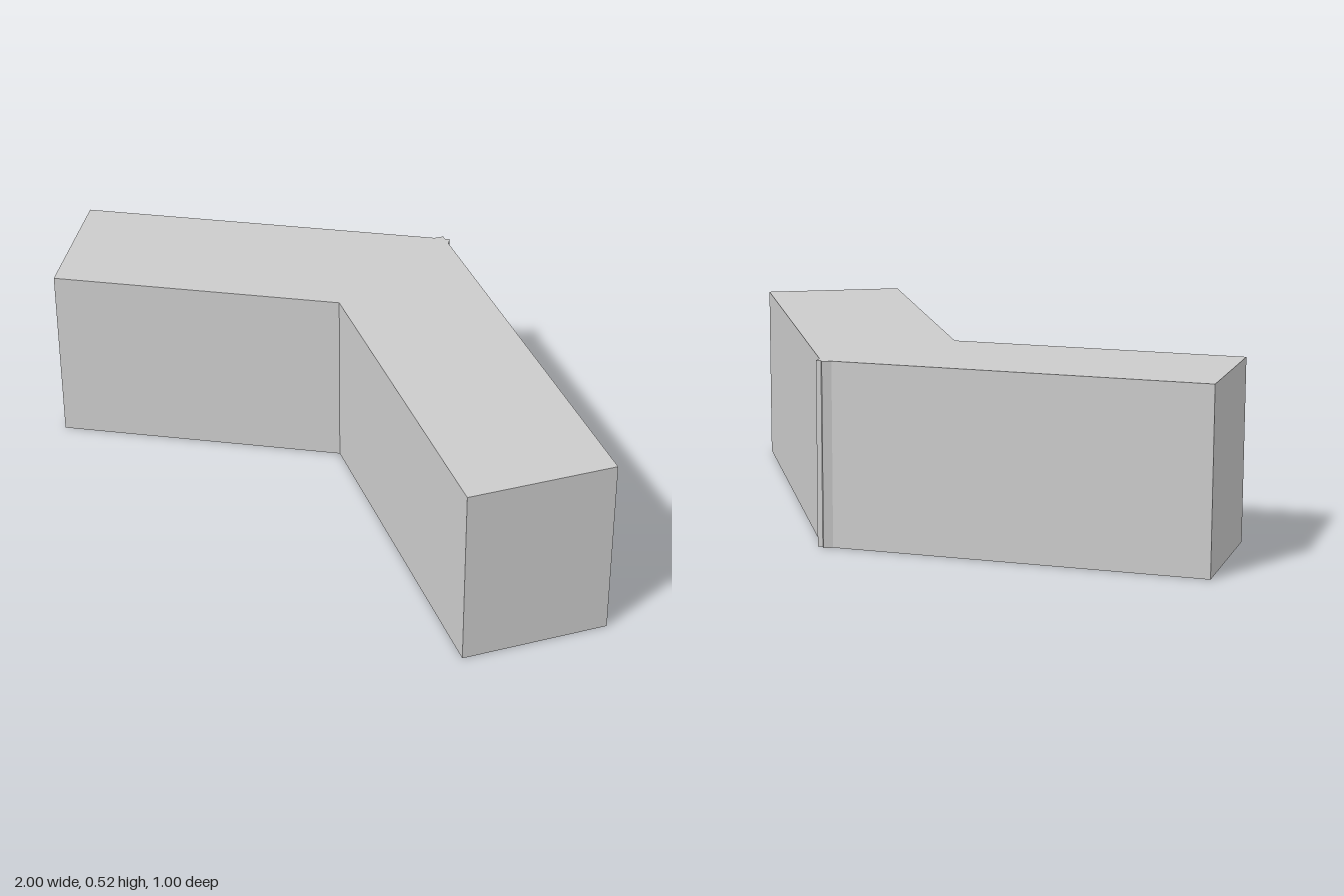
import * as THREE from 'three';

const HEIGHT = 0.52;
const material = new THREE.MeshStandardMaterial({ color: 0xcccccc, flatShading: true });

// A straight box whose rear edge runs from (x0, z0) to (x1, z1), with its depth towards +z
function createArm(name, [x0, z0], [x1, z1], width) {
  const dx = x1 - x0, dz = z1 - z0;
  const length = Math.hypot(dx, dz);
  const arm = new THREE.Mesh(new THREE.BoxGeometry(length, HEIGHT, width), material);
  arm.name = name;
  arm.rotation.y = -Math.atan2(dz, dx);
  arm.position.set(
    (x0 + x1) / 2 - (dz / length) * width / 2,
    HEIGHT / 2,
    (z0 + z1) / 2 + (dx / length) * width / 2
  );
  return arm;
}

export function createModel() {
  const model = new THREE.Group();
  model.name = 'angledBlock';
  // The two arms overlap at the bend, their rear corners just crossing
  model.add(
    createArm('rightArm', [-1, 0.055], [-0.055, -0.502], 0.413),
    createArm('leftArm', [-0.08, -0.502], [1, 0.146], 0.414)
  );
  return model;
}
